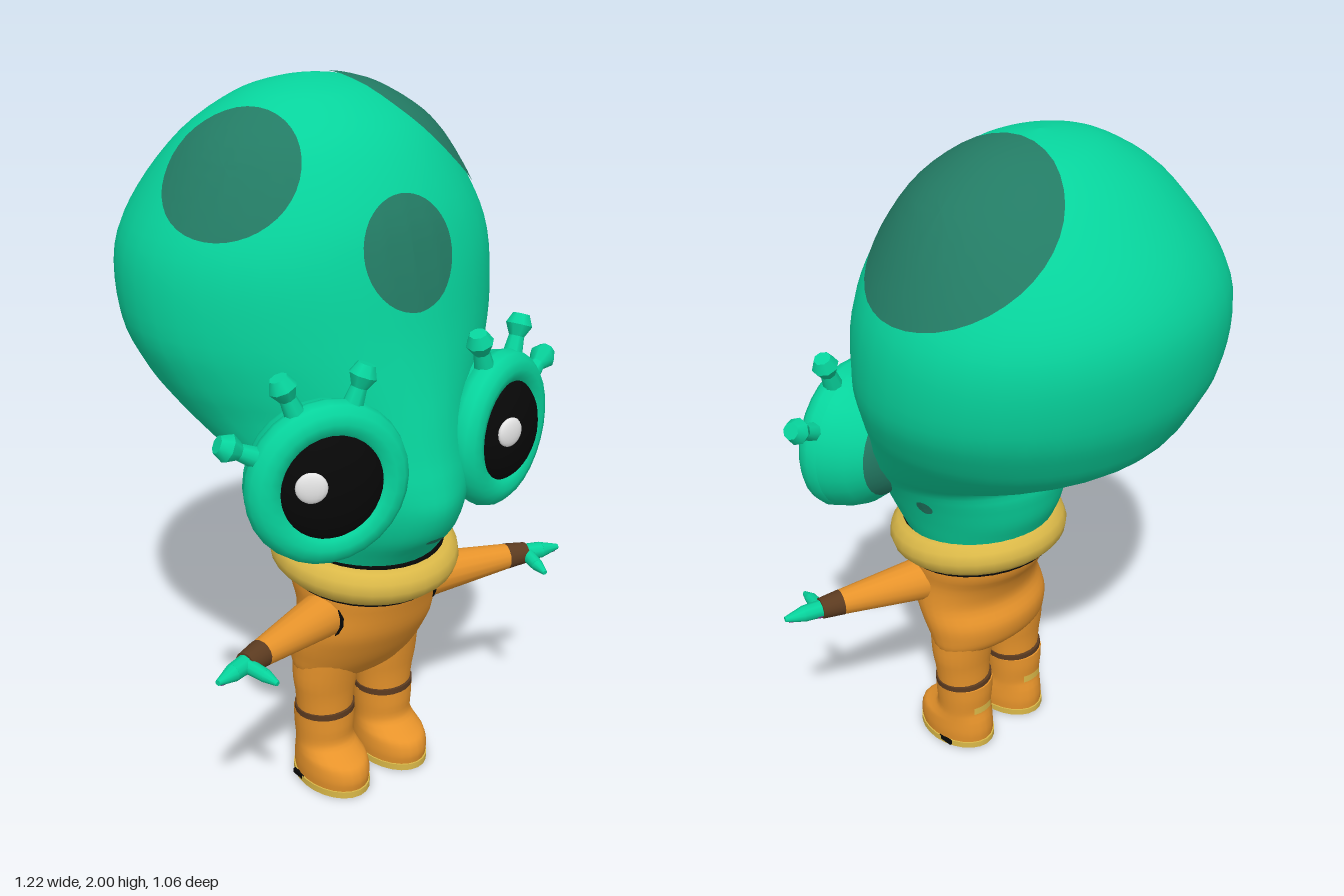
import * as THREE from 'three';

const mat = (name, color) => Object.assign(new THREE.MeshStandardMaterial({ color }), { name });
const M = {
  skin: mat('teal skin', 0x07d39c), spot: mat('dark teal', 0x237b64),
  suit: mat('orange suit', 0xe8942b), trim: mat('yellow trim', 0xdab848),
  cuff: mat('brown cuff', 0x5c3b20), black: mat('black', 0x070707),
  white: mat('white', 0xe6e6e6), palm: mat('purple palm', 0x8a4a9a),
};
const V = (x, y, z) => new THREE.Vector3(x, y, z);

function add(parent, name, geo, material, pos = [0, 0, 0], scale = [1, 1, 1]) {
  const m = new THREE.Mesh(geo, material);
  m.name = name;
  m.position.set(...pos);
  m.scale.set(...scale);
  parent.add(m);
  return m;
}

// Smooth loft through horizontal rings [y, zFront, zBack, halfWidth, frontPointiness]
function loft(rings, steps, sides = 32) {
  const a = new THREE.CatmullRomCurve3(rings.map(r => V(r[0], r[1], r[2])), false, 'catmullrom', 0.5);
  const b = new THREE.CatmullRomCurve3(rings.map(r => V(r[3], r[4] || 0, 0)), false, 'catmullrom', 0.5);
  const pos = [], idx = [];
  for (let i = 0; i <= steps; i++) {
    const p = a.getPoint(i / steps), q = b.getPoint(i / steps);
    for (let j = 0; j < sides; j++) {
      const t = (j / sides) * Math.PI * 2, c = Math.cos(t);
      const x = q.x * Math.sin(t) * (1 - q.y * Math.max(0, c) ** 2);
      pos.push(x, p.x, (p.y + p.z) / 2 + c * (p.y - p.z) / 2);
      if (i < steps) {
        const k = i * sides, n = (j + 1) % sides;
        idx.push(k + j, k + n, k + sides + n, k + j, k + sides + n, k + sides + j);
      }
    }
  }
  // flat end caps
  for (const [i, flip] of [[0, true], [steps, false]]) {
    const p = a.getPoint(i / steps), base = pos.length / 3;
    for (let j = 0; j < sides; j++) pos.push(...pos.slice((i * sides + j) * 3, (i * sides + j) * 3 + 3));
    pos.push(0, p.x, (p.y + p.z) / 2);
    for (let j = 0; j < sides; j++) {
      const n = base + (j + 1) % sides;
      idx.push(base + sides, flip ? n : base + j, flip ? base + j : n);
    }
  }
  const g = new THREE.BufferGeometry();
  g.setAttribute('position', new THREE.Float32BufferAttribute(pos, 3));
  g.setIndex(idx);
  g.computeVertexNormals();
  return g;
}

// Thin round patch cast outward from an inner point onto a surface
function patch(target, from, centre, rx, ry) {
  const n = centre.clone().sub(from).normalize();
  const u = V(0, 1, 0).cross(n).normalize(), v = n.clone().cross(u);
  const rays = new THREE.Raycaster();
  const g = new THREE.RingGeometry(0, 1, 40, 10), p = g.attributes.position;
  for (let i = 0; i < p.count; i++) {
    const d = centre.clone().addScaledVector(u, p.getX(i) * rx).addScaledVector(v, p.getY(i) * ry)
      .sub(from).normalize();
    rays.set(from, d);
    const hits = rays.intersectObject(target);
    const dist = hits.length ? hits[hits.length - 1].distance : centre.distanceTo(from);
    const q = from.clone().addScaledVector(d, dist + 0.005);
    p.setXYZ(i, q.x, q.y, q.z);
  }
  g.computeVertexNormals();
  return g;
}

// Tapered limb piece between two points
function taper(parent, name, material, from, to, r0, r1, sides = 16) {
  const d = to.clone().sub(from);
  const m = add(parent, name, new THREE.CylinderGeometry(r1, r0, d.length(), sides), material);
  m.position.copy(from).addScaledVector(d, 0.5);
  m.quaternion.setFromUnitVectors(V(0, 1, 0), d.normalize());
  return m;
}

function buildHead(root) {
  const head = add(root, 'head', loft([
    [0.72, 0.38, 0.0, 0.2, 0], [0.8, 0.44, -0.03, 0.23, 0.1], [0.87, 0.5, -0.06, 0.255, 0.25],
    [0.95, 0.53, -0.075, 0.29, 0.4], [1.02, 0.52, -0.09, 0.33, 0.4], [1.09, 0.5, -0.24, 0.38, 0.35],
    [1.19, 0.475, -0.4, 0.445, 0.3], [1.28, 0.45, -0.465, 0.495, 0.2], [1.4, 0.42, -0.515, 0.535, 0.1],
    [1.57, 0.385, -0.53, 0.528, 0], [1.71, 0.34, -0.475, 0.465, 0], [1.86, 0.245, -0.345, 0.355, 0],
    [1.95, 0.13, -0.225, 0.22, 0], [1.985, 0.04, -0.135, 0.115, 0], [2.0, -0.05, -0.051, 0.001, 0],
  ], 56, 40), M.skin);
  head.updateMatrixWorld();
  head.material = new THREE.MeshBasicMaterial({ side: THREE.DoubleSide });
  const core = V(0, 1.45, -0.05);
  const spots = [
    ['large crown spot', core, V(0.285, 1.81, -0.053), 0.285, 0.28],
    ['small crown spot', core, V(-0.34, 1.8, 0.08), 0.19, 0.19],
    ['forehead spot', V(0, 1.6, -0.05), V(0, 1.62, 0.36), 0.142, 0.142],
    ['left ear spot', V(0, 0.935, 0.13), V(0.28, 0.935, 0.13), 0.024, 0.024],
    ['right ear spot', V(0, 0.935, 0.13), V(-0.28, 0.935, 0.13), 0.024, 0.024],
    ['mouth', V(0, 0.86, 0.2), V(0, 0.86, 0.49), 0.03, 0.008],
  ].map(([name, ...args]) => [name, patch(head, ...args)]);
  head.material = M.skin;
  for (const [name, geo] of spots) add(root, name, geo, M.spot);
}

function buildEye(root, s) {
  const eye = new THREE.Group();
  eye.name = s > 0 ? 'leftEye' : 'rightEye';
  eye.position.set(0.292 * s, 1.08, 0.41);
  eye.rotation.set(-0.02, 0.28 * s, 0, 'YXZ');
  root.add(eye);
  const lathe = pts => new THREE.LatheGeometry(pts.map(p => new THREE.Vector2(...p)), 28).rotateX(Math.PI / 2);
  add(eye, 'eyeRim', new THREE.TorusGeometry(0.169, 0.05, 12, 28), M.skin);
  add(eye, 'eyeCup', lathe([[0.15, -0.14], [0.185, -0.1], [0.207, -0.05], [0.216, 0]]), M.skin);
  add(eye, 'eyeCupBack', lathe([[0.001, -0.2], [0.1, -0.19], [0.15, -0.14]]), M.spot);
  add(eye, 'pupil', new THREE.SphereGeometry(1, 28, 18), M.black, [0, 0, 0.018], [0.142, 0.142, 0.075]);
  const glint = add(eye, 'glint', new THREE.SphereGeometry(1, 16, 10), M.white,
    [-0.072, 0.028, 0.079], [0.041, 0.041, 0.013]);
  glint.rotation.y = -0.3;
  // knobbed lashes around the upper outer rim
  for (const deg of [27, 67, 110]) {
    const a = deg * Math.PI / 180, at = r => V(Math.cos(a) * r * s, Math.sin(a) * r, -0.005);
    taper(eye, 'lashStalk', M.skin, at(0.19), at(0.27), 0.03, 0.02, 8);
    taper(eye, 'lashKnobBase', M.skin, at(0.25), at(0.285), 0.02, 0.038, 8);
    taper(eye, 'lashKnobTip', M.skin, at(0.285), at(0.315), 0.038, 0.024, 8);
  }
}

function buildArm(root, s) {
  const arm = new THREE.Group();
  arm.name = s > 0 ? 'leftArm' : 'rightArm';
  root.add(arm);
  const P = (x, y, z) => V(x * s, y, z);
  taper(arm, 'shoulderSeam', M.black, P(0.178, 0.592, 0.252), P(0.19, 0.592, 0.255), 0.069, 0.069);
  taper(arm, 'sleeve', M.suit, P(0.14, 0.592, 0.24), P(0.445, 0.6, 0.325), 0.071, 0.037);
  taper(arm, 'cuff', M.cuff, P(0.443, 0.6, 0.324), P(0.505, 0.6, 0.342), 0.038, 0.031);
  taper(arm, 'hand', M.skin, P(0.5, 0.6, 0.34), P(0.555, 0.6, 0.357), 0.026, 0.024, 10);
  taper(arm, 'fingers', M.skin, P(0.555, 0.6, 0.357), P(0.61, 0.6, 0.373), 0.024, 0.008, 10);
  taper(arm, 'palm', M.palm, P(0.508, 0.594, 0.342), P(0.6, 0.594, 0.37), 0.023, 0.008, 10);
  taper(arm, 'thumb', M.skin, P(0.505, 0.6, 0.345), P(0.488, 0.592, 0.41), 0.021, 0.018, 10);
  taper(arm, 'thumbTip', M.skin, P(0.488, 0.592, 0.41), P(0.48, 0.586, 0.45), 0.018, 0.007, 10);
}

function buildLeg(root, s) {
  const leg = new THREE.Group();
  leg.name = s > 0 ? 'leftLeg' : 'rightLeg';
  leg.position.x = 0.11 * s;
  root.add(leg);
  add(leg, 'trouserLeg', loft([[0.2, 0.24, 0.09, 0.082], [0.28, 0.245, 0.088, 0.09],
    [0.34, 0.255, 0.08, 0.098], [0.42, 0.27, 0.07, 0.095]], 8, 24), M.suit);
  add(leg, 'bootBand', loft([[0.221, 0.25, 0.08, 0.09], [0.238, 0.25, 0.08, 0.09]], 1, 24), M.cuff);
  add(leg, 'boot', loft([[0.018, 0.33, 0.068, 0.092], [0.05, 0.334, 0.066, 0.094], [0.085, 0.322, 0.07, 0.092],
    [0.105, 0.285, 0.075, 0.088], [0.13, 0.25, 0.08, 0.085], [0.18, 0.25, 0.075, 0.088],
    [0.222, 0.25, 0.075, 0.09]], 20, 24), M.suit);
  add(leg, 'sole', loft([[0, 0.335, 0.063, 0.096], [0.02, 0.335, 0.063, 0.096]], 1, 24), M.trim);
  add(leg, 'heelTab', new THREE.CylinderGeometry(0.09, 0.09, 0.024, 12, 1, true, Math.PI - 0.4, 0.8),
    M.trim, [0, 0.14, 0.164]);
  add(leg, 'heelMark', new THREE.BoxGeometry(0.008, 0.014, 0.05), M.black, [0.09 * s, 0.014, 0.16]);
}

export function createModel() {
  const root = new THREE.Group();
  root.name = 'alien';
  buildHead(root);

  // suit torso with a rounded belly and seat
  add(root, 'torso', loft([[0.328, 0.22, 0.12, 0.12], [0.345, 0.245, 0.09, 0.18], [0.38, 0.275, 0.05, 0.206],
    [0.42, 0.305, 0.032, 0.214], [0.47, 0.335, 0.03, 0.22], [0.53, 0.365, 0.055, 0.217],
    [0.6, 0.385, 0.035, 0.21], [0.66, 0.4, 0.0, 0.215], [0.73, 0.4, -0.01, 0.21]], 28), M.suit);

  // padded neck ring, tipped forward
  const collar = add(root, 'collar', new THREE.TorusGeometry(0.212, 0.056, 12, 32).rotateX(Math.PI / 2),
    M.trim, [0, 0.735, 0.2]);
  collar.rotation.x = 0.11;
  const lining = add(root, 'collarLining', new THREE.CylinderGeometry(0.222, 0.222, 0.125, 32), M.black, [0, 0.732, 0.2]);
  lining.rotation.x = 0.11;

  for (const s of [1, -1]) {
    buildEye(root, s);
    buildArm(root, s);
    buildLeg(root, s);
  }
  return root;
}
